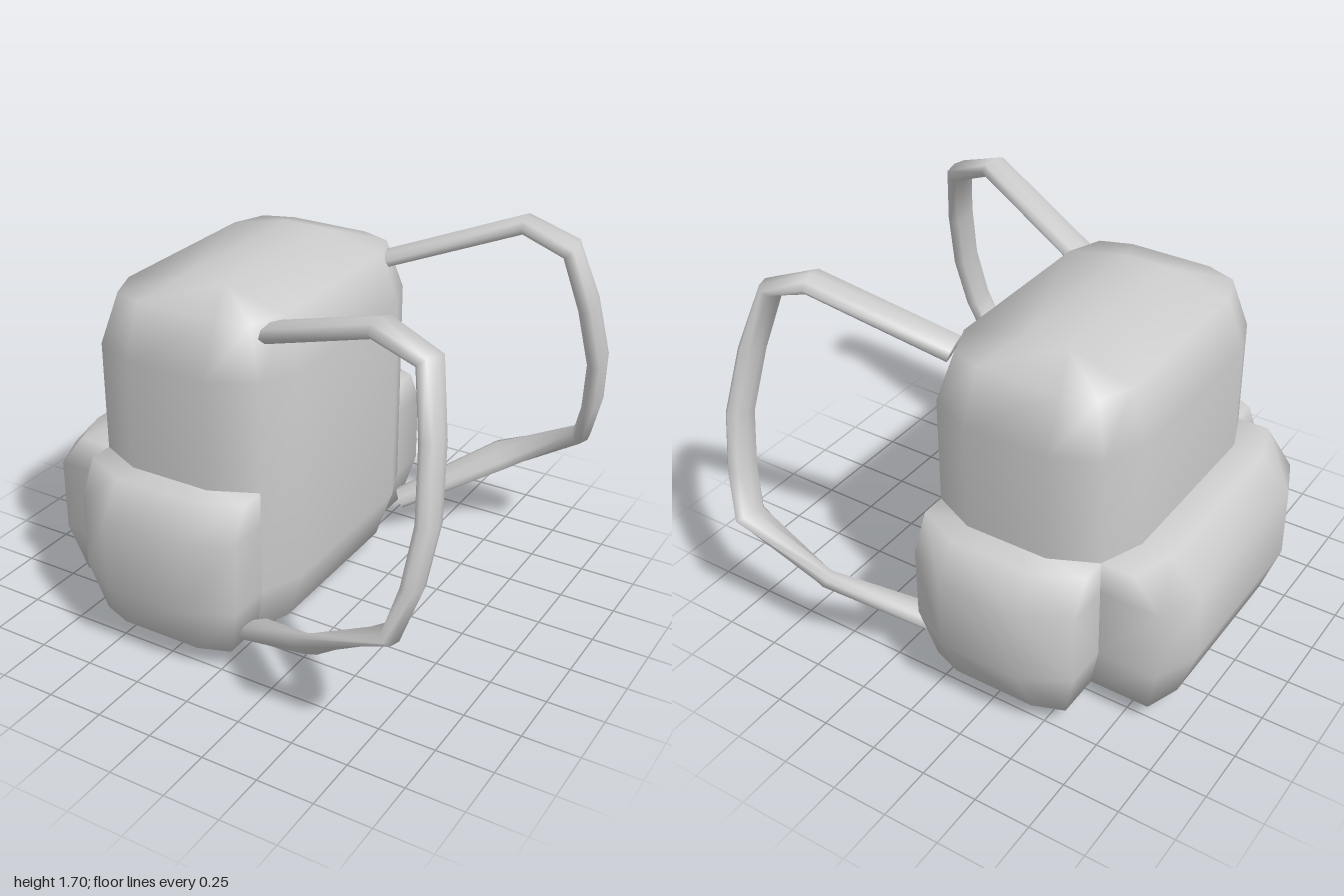
import * as THREE from 'three';
import { mergeVertices } from 'three/addons/utils/BufferGeometryUtils.js';

const material = new THREE.MeshStandardMaterial({ color: 0xcccccc });

// Skin a list of closed rings (arrays of Vector3), cap both ends, smooth normals
function loft(name, rings) {
  const n = rings[0].length, pts = rings.flat(), index = [];
  for (let i = 0; i < rings.length - 1; i++)
    for (let j = 0; j < n; j++) {
      const a = i * n + j, b = i * n + (j + 1) % n;
      index.push(a, b, b + n, a, b + n, a + n);
    }
  for (const [r, flip] of [[0, true], [rings.length - 1, false]]) {
    const c = new THREE.Vector3();
    rings[r].forEach(p => c.addScaledVector(p, 1 / n));
    const k = pts.push(c) - 1;
    for (let j = 0; j < n; j++) {
      const a = r * n + j, b = r * n + (j + 1) % n;
      index.push(k, flip ? b : a, flip ? a : b);
    }
  }
  // Turn the faces outward whichever way the rings run
  let volume = 0;
  const v = new THREE.Vector3();
  for (let i = 0; i < index.length; i += 3)
    volume += v.crossVectors(pts[index[i]], pts[index[i + 1]]).dot(pts[index[i + 2]]);
  if (volume < 0) index.reverse();
  let geometry = new THREE.BufferGeometry().setFromPoints(pts);
  geometry.setIndex(index);
  geometry = mergeVertices(geometry, 1e-4);
  geometry.computeVertexNormals();
  const mesh = new THREE.Mesh(geometry, material);
  mesh.name = name;
  return mesh;
}

const CX = -0.275; // middle of the bag in x

// Body: 12-point rounded rectangles; each row is y, then flat, corner and side extents
function body() {
  const rows = [
    // y, flatX, sideZ, cornerX, cornerZ, sideX, flatZ
    [0, 0.185, 0.38, 0.185, 0.38, 0.185, 0.38],
    [0.1, 0.185, 0.59, 0.32, 0.54, 0.38, 0.39],
    [0.33, 0.185, 0.68, 0.38, 0.59, 0.455, 0.4],
    [1.28, 0.185, 0.68, 0.38, 0.59, 0.455, 0.4],
    [1.5, 0.185, 0.59, 0.32, 0.54, 0.38, 0.39],
    [1.565, 0.095, 0.38, 0.095, 0.38, 0.095, 0.38],
  ];
  return loft('body', rows.map(([y, fx, sz, cx, cz, sx, fz]) => {
    const q = [[fx, sz], [cx, cz], [sx, fz]];
    const half = [...q, ...q.map(([x, z]) => [x, -z]).reverse()];
    const ring = [...half, ...half.map(([x, z]) => [-x, -z])];
    return ring.map(([x, z]) => new THREE.Vector3(CX + x, y, z));
  }));
}

// Pocket: u runs along the bag's face, v outward; place() maps them to x and z
function pocket(name, rows, place) {
  return loft(name, rows.map(([y, flatU, outV, cornerU, cornerV, bodyV]) => {
    const half = [[flatU, outV], [cornerU, cornerV], [cornerU, bodyV], [cornerU, bodyV - 0.15]];
    const ring = [...half.map(([u, v]) => [-u, v]).reverse(), ...half];
    return ring.map(([u, v]) => {
      const [x, z] = place(u, v);
      return new THREE.Vector3(x, y, z);
    });
  }));
}

// Strap: flattened tube along a path; each stop has a point and its width direction
function strap(name, side) {
  const stops = [
    // x, y, z, widthY, widthZ
    [0.1, 1.455, 0.47, 0, 1],
    [0.655, 1.66, 0.63, 0, 1],
    [0.86, 1.585, 0.645, 0, 1],
    [0.925, 1.32, 0.73, 0, 1],
    [0.96, 1.04, 0.81, 0, 1],
    [0.935, 0.8, 0.865, 0, 1],
    [0.88, 0.605, 0.913, 0, 1],
    [0.5, 0.4, 0.885, 0.7, 0.7],
    [0.1, 0.17, 0.635, 0.2, 1],
  ];
  const p = stops.map(([x, y, z]) => new THREE.Vector3(x, y, z));
  const rings = p.map((c, i) => {
    const t = new THREE.Vector3();
    if (i > 0) t.add(c.clone().sub(p[i - 1]).normalize());
    if (i < p.length - 1) t.add(p[i + 1].clone().sub(c).normalize());
    t.normalize();
    const w = new THREE.Vector3(0, stops[i][3], stops[i][4]);
    w.addScaledVector(t, -w.dot(t)).normalize();
    const n = new THREE.Vector3().crossVectors(t, w);
    return Array.from({ length: 8 }, (_, k) => {
      const a = k * Math.PI / 4;
      const q = c.clone().addScaledVector(w, 0.08 * Math.cos(a)).addScaledVector(n, 0.04 * Math.sin(a));
      q.z *= side;
      return q;
    });
  });
  return loft(name, rings);
}

export function createModel() {
  const group = new THREE.Group();
  group.name = 'backpack';
  group.add(body());

  // Large pocket on the face opposite the straps
  group.add(pocket('mainPocket', [
    [0.1, 0.39, 0.92, 0.54, 0.865, 0.59],
    [0.33, 0.4, 1.0, 0.59, 0.92, 0.65],
    [0.65, 0.4, 1.0, 0.59, 0.92, 0.65],
    [0.8, 0.4, 0.865, 0.59, 0.8, 0.65],
  ], (u, v) => [-v, u]));

  // Mirrored side pockets and shoulder straps
  for (const [label, side] of [['front', 1], ['back', -1]]) {
    group.add(pocket(label + 'SidePocket', [
      [0.1, 0.185, 0.79, 0.32, 0.74, 0.54],
      [0.33, 0.185, 0.89, 0.38, 0.78, 0.59],
      [0.65, 0.185, 0.89, 0.38, 0.78, 0.59],
      [0.8, 0.185, 0.79, 0.38, 0.7, 0.59],
    ], (u, v) => [CX + u, v * side]));
    group.add(strap(label + 'Strap', side));
  }
  return group;
}
